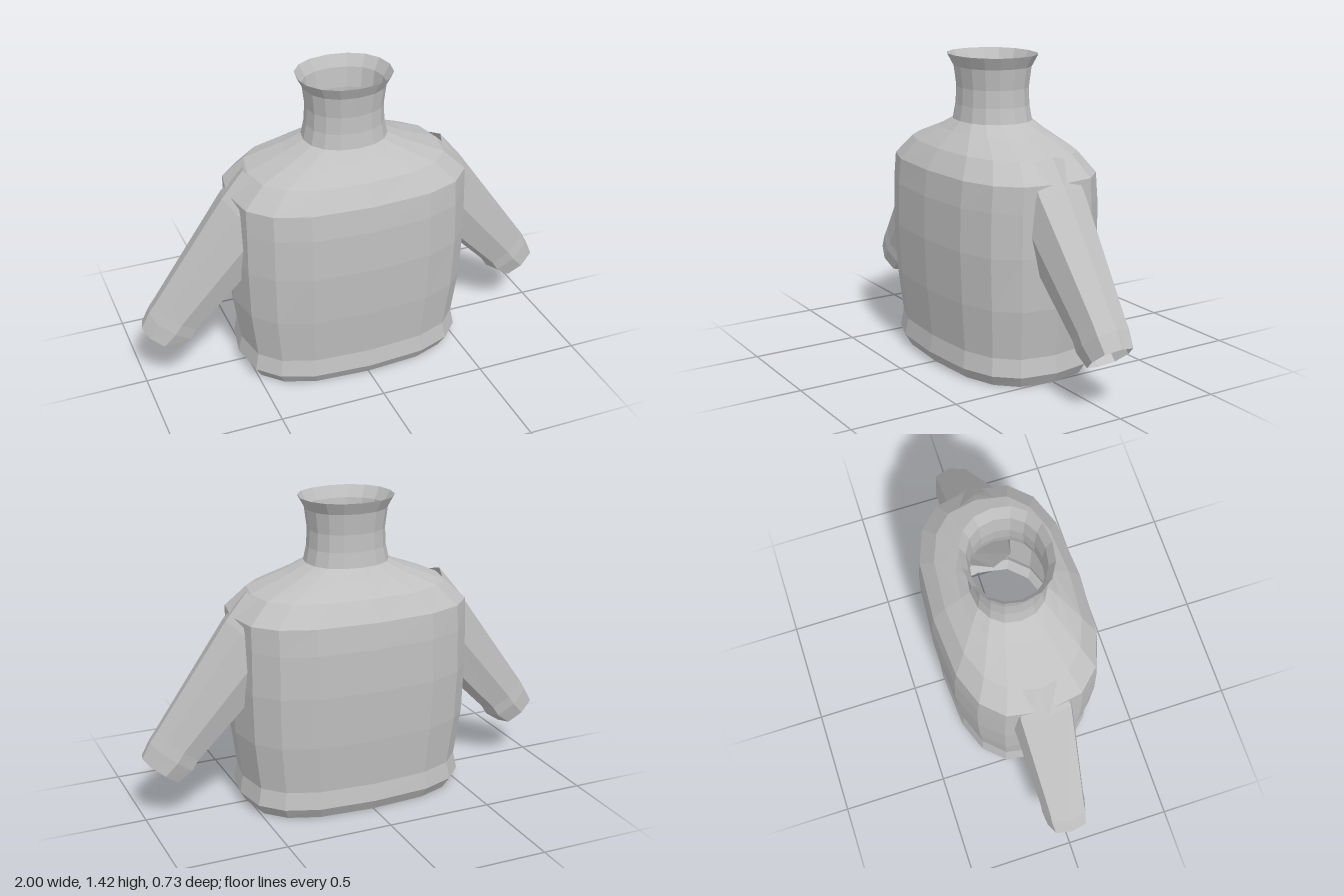
import * as THREE from 'three';

// Skin a list of equal-length rings (arrays of Vector3) into an open tube
function loft(rings) {
  const n = rings[0].length;
  const index = [];
  for (let r = 0; r < rings.length - 1; r++) {
    for (let i = 0; i < n; i++) {
      const j = (i + 1) % n;
      const a = r * n + i, b = r * n + j, c = a + n, d = b + n;
      index.push(a, b, d, a, d, c);
    }
  }
  const geo = new THREE.BufferGeometry().setFromPoints(rings.flat());
  geo.setIndex(index);
  geo.computeVertexNormals();
  return geo;
}

// Unit rounded-square outline, power below 1 squares it off
function outline(sides, power) {
  const soften = (v) => Math.sign(v) * Math.pow(Math.abs(v), power);
  return Array.from({ length: sides }, (_, i) => {
    const t = (i / sides) * Math.PI * 2;
    return [soften(Math.sin(t)), soften(Math.cos(t))];
  });
}

// Horizontal ring: height, half width, half depth, squareness
const levelRing = ([y, rx, rz, power]) =>
  outline(16, power).map(([u, v]) => new THREE.Vector3(u * rx, y, v * rz));

export function createModel() {
  const group = new THREE.Group();
  const knit = new THREE.MeshStandardMaterial({ color: 0xc0c0c0 });
  knit.name = 'grey knit';
  knit.flatShading = true;
  knit.side = THREE.DoubleSide;

  const add = (name, rings) => {
    const mesh = new THREE.Mesh(loft(rings), knit);
    mesh.name = name;
    group.add(mesh);
  };

  // Hem, open at the bottom
  add('hem', [
    [0, 0.512, 0.315, 0.72],
    [0.052, 0.543, 0.345, 0.72],
    [0.133, 0.527, 0.331, 0.72],
  ].map(levelRing));

  // Torso and sloping shoulders
  add('torso', [
    [0.133, 0.527, 0.331, 0.72],
    [0.36, 0.557, 0.354, 0.72],
    [0.6, 0.565, 0.366, 0.72],
    [0.8, 0.563, 0.362, 0.72],
    [0.92, 0.562, 0.349, 0.72],
    [1.012, 0.465, 0.29, 0.76],
    [1.082, 0.287, 0.213, 0.85],
    [1.125, 0.197, 0.172, 0.92],
  ].map(levelRing));

  // Flared collar
  add('collar', [
    [1.125, 0.197, 0.172, 0.92],
    [1.195, 0.182, 0.161, 0.92],
    [1.275, 0.178, 0.158, 0.92],
    [1.37, 0.19, 0.17, 0.92],
    [1.425, 0.221, 0.198, 0.92],
  ].map(levelRing));

  // Sleeves: rings across a sloping arm axis, open at the cuff
  const across = new THREE.Vector2(0.78, 0.626);
  const armRing = (side) => ([x, y, r, rz]) =>
    outline(8, 0.72).map(([u, v]) => new THREE.Vector3(
      side * (x + across.x * r * v), y + across.y * r * v, side * u * rz));

  for (const side of [1, -1]) {
    const label = side > 0 ? 'left' : 'right';
    add(label + 'Sleeve', [
      [0.345, 0.912, 0.18, 0.12],
      [0.456, 0.797, 0.168, 0.15],
      [0.837, 0.347, 0.118, 0.106],
    ].map(armRing(side)));
    add(label + 'Cuff', [
      [0.837, 0.347, 0.118, 0.106],
      [0.868, 0.302, 0.12, 0.106],
      [0.922, 0.243, 0.1, 0.095],
    ].map(armRing(side)));
  }

  return group;
}
